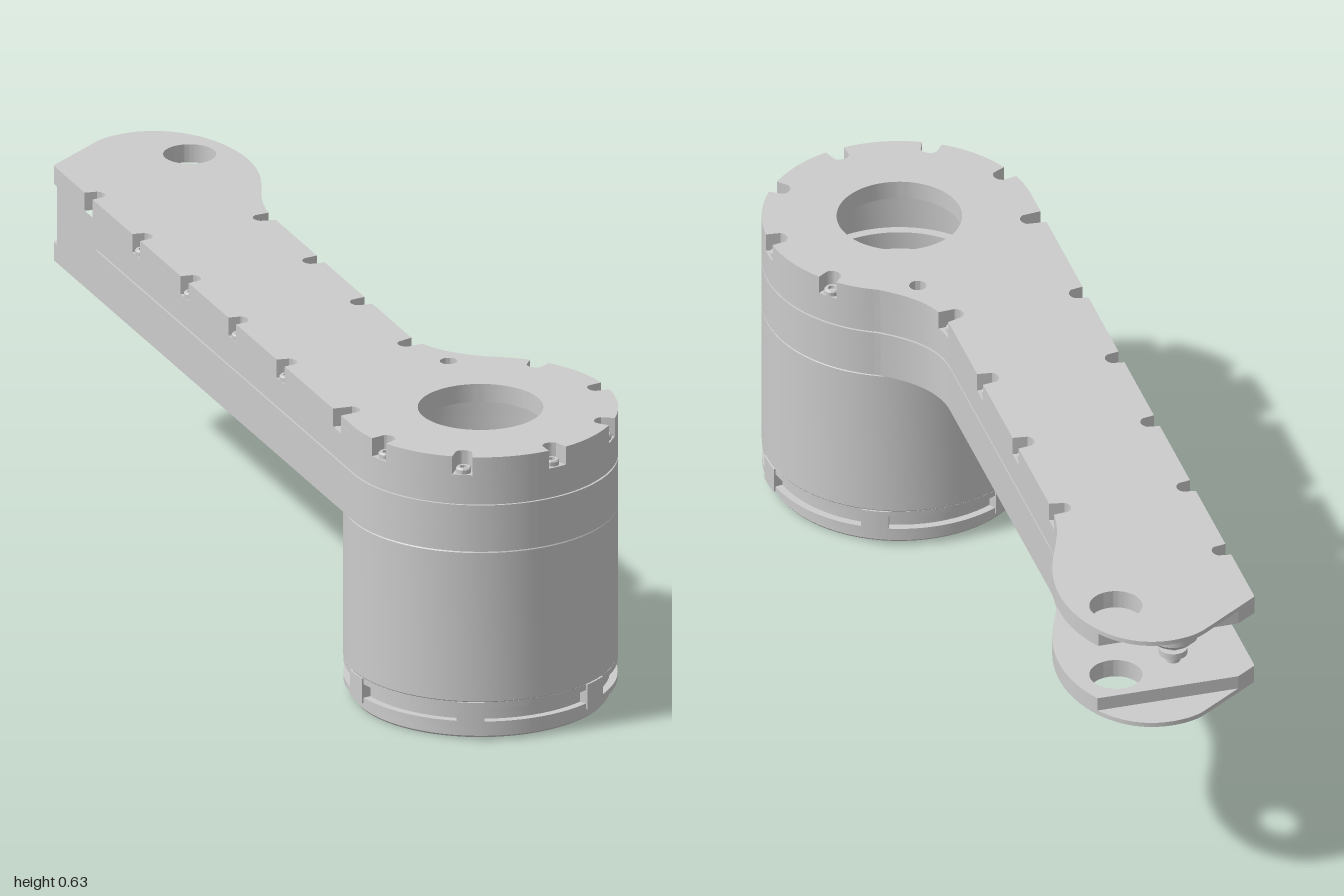
import * as THREE from 'three';
import { toCreasedNormals } from 'three/addons/utils/BufferGeometryUtils.js';

const grey = new THREE.MeshStandardMaterial({ color: 0xcccccc });
const MZ = 0.71; // z of the motor axis
const R = 0.285; // motor radius

function add(parent, name, geo, x = 0, y = 0, z = 0) {
  const mesh = new THREE.Mesh(geo, grey);
  mesh.name = name;
  mesh.position.set(x, y, z);
  parent.add(mesh);
  return mesh;
}

// Plan outline of the arm, in (x, z), running counter-clockwise
function armOutline(n) {
  const s = new THREE.Path();
  s.moveTo(-R, MZ);
  s.lineTo(-R, -0.89);
  s.lineTo(-0.15, -0.98);
  s.quadraticCurveTo(-0.12, -1, -0.075, -1);
  s.bezierCurveTo(0.04, -1, 0.1, -0.88, 0.1, -0.77);
  s.bezierCurveTo(0.1, -0.62, 0.02, -0.58, 0.02, -0.43);
  s.lineTo(0.02, 0.28);
  s.bezierCurveTo(0.02, 0.37, 0.08, 0.42, 0.125, 0.454);
  s.absarc(0, MZ, R, Math.atan2(-0.256, 0.125), Math.PI, false);
  const pts = s.getSpacedPoints(n);
  pts.pop();
  return pts;
}

const inward = (pts, i) => {
  const n = pts.length;
  const t = pts[(i + 1) % n].clone().sub(pts[(i + n - 1) % n]).normalize();
  return new THREE.Vector2(-t.y, t.x);
};

const inset = (pts, d) => pts.map((p, i) => p.clone().addScaledVector(inward(pts, i), d));

// Cut a U-shaped bite from the outline to each screw position
function notched(pts, screws, r) {
  const out = pts.map(p => p.clone());
  for (const c of screws) {
    let k = 0;
    pts.forEach((p, i) => { if (p.distanceTo(c) < pts[k].distanceTo(c)) k = i; });
    const q = pts[k], nrm = inward(pts, k), depth = q.distanceTo(c);
    pts.forEach((p, i) => {
      const d = p.clone().sub(q);
      const t = Math.abs(d.x * nrm.y - d.y * nrm.x);
      if (d.length() < 0.05 && t < r) out[i].addScaledVector(nrm, depth + Math.sqrt(r * r - t * t));
    });
  }
  return out;
}

// Horizontal slab from y0 to y1; holes are [x, z, radius]
function slab(pts, y0, y1, holes = []) {
  const shape = new THREE.Shape(pts);
  for (const [x, z, r] of holes) {
    const h = new THREE.Path();
    h.absarc(x, z, r, 0, Math.PI * 2, true);
    shape.holes.push(h);
  }
  const g = new THREE.ExtrudeGeometry(shape, { depth: y1 - y0, bevelEnabled: false, curveSegments: 40 });
  g.rotateX(Math.PI / 2).translate(0, y1, 0);
  return toCreasedNormals(g, 0.5);
}

const lathe = (profile, seg = 72) =>
  toCreasedNormals(new THREE.LatheGeometry(profile.map(p => new THREE.Vector2(...p)), seg), 0.5);

// Part of a ring, centred on angle a (0 faces +z, growing towards +x)
function arcBlock(r0, r1, y0, y1, a, half) {
  const s = new THREE.Shape();
  const m = Math.PI / 2 - a;
  s.absarc(0, 0, r1, m - half, m + half, false);
  s.absarc(0, 0, r0, m + half, m - half, true);
  return slab(s.getPoints(24), y0, y1);
}

// Socket-head screw
function screw(parent, x, y, z, r, h) {
  add(parent, 'screw', lathe([[0, h * 0.4], [r * 0.5, h * 0.4], [r * 0.5, h], [r * 0.85, h], [r, h * 0.75], [r, 0], [0, 0]].reverse(), 14), x, y, z);
}

function buildArm() {
  const arm = new THREE.Group();
  arm.name = 'arm';
  const screws = [[-0.255, 0.62], [-0.25, 0.8], [-0.135, 0.94], [0.05, 0.97], [0.205, 0.88], [0.265, 0.7], [0.2, 0.53],
    [-0.27, -0.7]].map(p => new THREE.Vector2(...p));
  for (const z of [-0.45, -0.19, 0.065, 0.32]) screws.push(new THREE.Vector2(-0.27, z), new THREE.Vector2(0, z));

  const full = armOutline(900);
  const lipless = p => p.y > -0.92; // thick part of the fork plates
  const solid = p => p.y > -0.56 + 0.35 * p.x; // part of the arm behind the fork
  const pin = [0, -0.84, 0.055];
  const bore = r => [0, MZ, r];

  // Lower shell
  add(arm, 'lowerSkin', slab(full, 0.42, 0.43, [pin, bore(0.2)]));
  add(arm, 'lowerPlate', slab(full.filter(lipless), 0.43, 0.46, [pin, bore(0.2)]));
  const core = full.filter(solid);
  add(arm, 'lowerShell', slab(core, 0.46, 0.523, [bore(0.22)]));
  add(arm, 'seam', slab(inset(full, 0.005).filter(solid), 0.523, 0.527, [bore(0.22)]));
  // Upper shell with screw notches
  add(arm, 'upperShell', slab(core, 0.527, 0.59, [bore(0.22)]));
  const cut = notched(armOutline(1100), screws, 0.02);
  const innerScrew = [0.04, 0.445, 0.018];
  add(arm, 'upperPlate', slab(cut.filter(lipless), 0.59, 0.62, [pin, bore(0.13), innerScrew]));
  add(arm, 'upperSkin', slab(cut, 0.62, 0.63, [pin, bore(0.13), innerScrew]));
  for (const c of screws) if (c.y > -0.66) screw(arm, c.x, 0.59, c.y, 0.016, 0.012);
  screw(arm, 0.04, 0.59, 0.445, 0.016, 0.012);

  // Thin outer wall along the straight side of the fork
  add(arm, 'forkWall', new THREE.PlaneGeometry(0.21, 0.13).rotateY(-Math.PI / 2), -R, 0.525, -0.765);
  return arm;
}

function buildTensioner() {
  const g = new THREE.Group();
  g.name = 'tensioner';
  // Rounded link carrying the roller
  const s = new THREE.Shape();
  s.absarc(-0.13, -0.82, 0.035, Math.PI, Math.PI * 2, false);
  s.absarc(-0.13, -0.65, 0.035, 0, Math.PI, false);
  add(g, 'link', slab(s.getPoints(16), 0.525, 0.55));
  add(g, 'post', new THREE.CylinderGeometry(0.035, 0.035, 0.13, 24), -0.13, 0.525, -0.7);
  add(g, 'roller', lathe([[0, 0.51], [0.04, 0.51], [0.052, 0.522], [0.052, 0.553], [0.04, 0.565], [0, 0.565]], 28), -0.13, 0, -0.82);
  add(g, 'axle', new THREE.CylinderGeometry(0.015, 0.015, 0.14, 16), -0.13, 0.525, -0.82);
  for (const y of [0.485, 0.582]) add(g, 'nut', new THREE.CylinderGeometry(0.03, 0.03, 0.014, 16), -0.13, y, -0.82);
  return g;
}

function buildMotor() {
  const motor = new THREE.Group();
  motor.name = 'motor';
  motor.position.z = MZ;
  add(motor, 'housing', lathe([[0, 0.084], [0.283, 0.084], [R, 0.087], [R, 0.417], [0.283, 0.42], [0, 0.42]]));
  // Output flange seen through the arm bore
  add(motor, 'outputFlange', lathe([[0.08, 0.42], [0.08, 0.46], [0.128, 0.46], [0.128, 0.42]].reverse()));
  // End cap with a dished underside and a hub
  add(motor, 'endCap', lathe([[0, 0.06], [0.05, 0.06], [0.05, 0.02], [0.1, 0.02], [0.115, 0.03], [0.115, 0.05],
    [0.14, 0.045], [0.2, 0.03], [0.25, 0], [0.265, 0], [0.268, 0.004], [0.268, 0.085], [0, 0.085]]));
  add(motor, 'hubRing', new THREE.TorusGeometry(0.058, 0.009, 10, 40).rotateX(Math.PI / 2), 0, 0.02, 0);
  for (let i = 0; i < 6; i++) {
    const a = i * Math.PI / 3, x = 0.1 * Math.sin(a), z = 0.1 * Math.cos(a);
    screw(motor, x, 0.46, z, 0.017, 0.01);
    add(motor, 'hubScrew', new THREE.CylinderGeometry(0.012, 0.012, 0.012, 12), x * 0.83, 0.018, z * 0.83);
    // Framed slots between lugs
    const lug = a + THREE.MathUtils.degToRad(33);
    add(motor, 'lug', arcBlock(0.26, 0.288, 0.03, 0.085, lug, 0.1));
    add(motor, 'lowerRail', arcBlock(0.26, 0.284, 0.03, 0.042, lug + Math.PI / 6, 0.43));
    add(motor, 'upperRail', arcBlock(0.26, 0.284, 0.072, 0.085, lug + Math.PI / 6, 0.43));
  }
  return motor;
}

export function createModel() {
  const model = new THREE.Group();
  model.name = 'armLink';
  model.add(buildArm(), buildTensioner(), buildMotor());
  return model;
}
